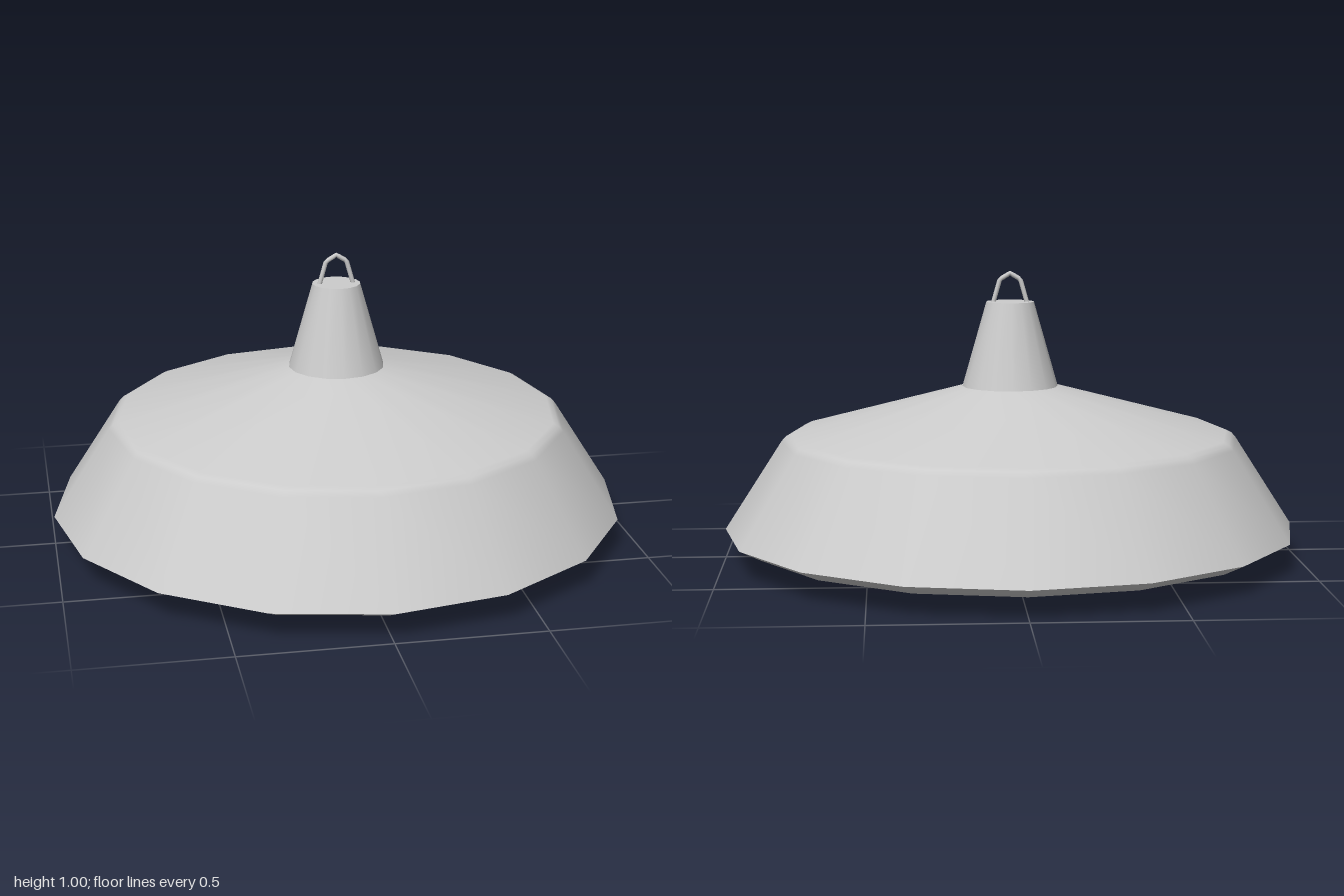
import * as THREE from 'three';

const SIDES = 16;
const grey = new THREE.MeshStandardMaterial({ color: 0xcccccc, side: THREE.DoubleSide });

function addPart(group, name, geometry, y = 0) {
  const mesh = new THREE.Mesh(geometry, grey);
  mesh.name = name;
  mesh.position.y = y;
  group.add(mesh);
  return mesh;
}

// Revolve [radius, height] pairs, listed from bottom to top
const turned = (profile) =>
  new THREE.LatheGeometry(profile.map(([r, y]) => new THREE.Vector2(r, y)), SIDES);

export function createModel() {
  const lamp = new THREE.Group();
  lamp.name = 'pendantLamp';

  // Shallow domed diffuser: a flattened half sphere closing the underside
  const dome = [];
  for (let i = 0; i <= 4; i++) {
    const a = (i / 4) * Math.PI / 2;
    dome.push([Math.sin(a), 0.1 * (1 - Math.cos(a))]);
  }
  addPart(lamp, 'diffuser', turned(dome));

  // Shade with a softened shoulder
  addPart(lamp, 'shade', turned([[1, 0.1], [0.8, 0.41], [0.785, 0.427], [0.765, 0.437], [0.167, 0.6]]));

  // Tapered neck and its flat lid
  addPart(lamp, 'neck', new THREE.CylinderGeometry(0.083, 0.167, 0.295, SIDES, 1, true), 0.7475);
  addPart(lamp, 'neckLid', new THREE.CircleGeometry(0.083, SIDES).rotateX(-Math.PI / 2), 0.895);

  // Hanging loop of thin bent wire
  const bends = [[-0.062, 0.88], [-0.036, 0.972], [0, 0.994], [0.036, 0.972], [0.062, 0.88]];
  const wire = new THREE.CurvePath();
  const points = bends.map(([x, y]) => new THREE.Vector3(x, y, 0));
  for (let i = 1; i < points.length; i++) wire.add(new THREE.LineCurve3(points[i - 1], points[i]));
  addPart(lamp, 'hangingLoop', new THREE.TubeGeometry(wire, 24, 0.008, 8, false));

  return lamp;
}
